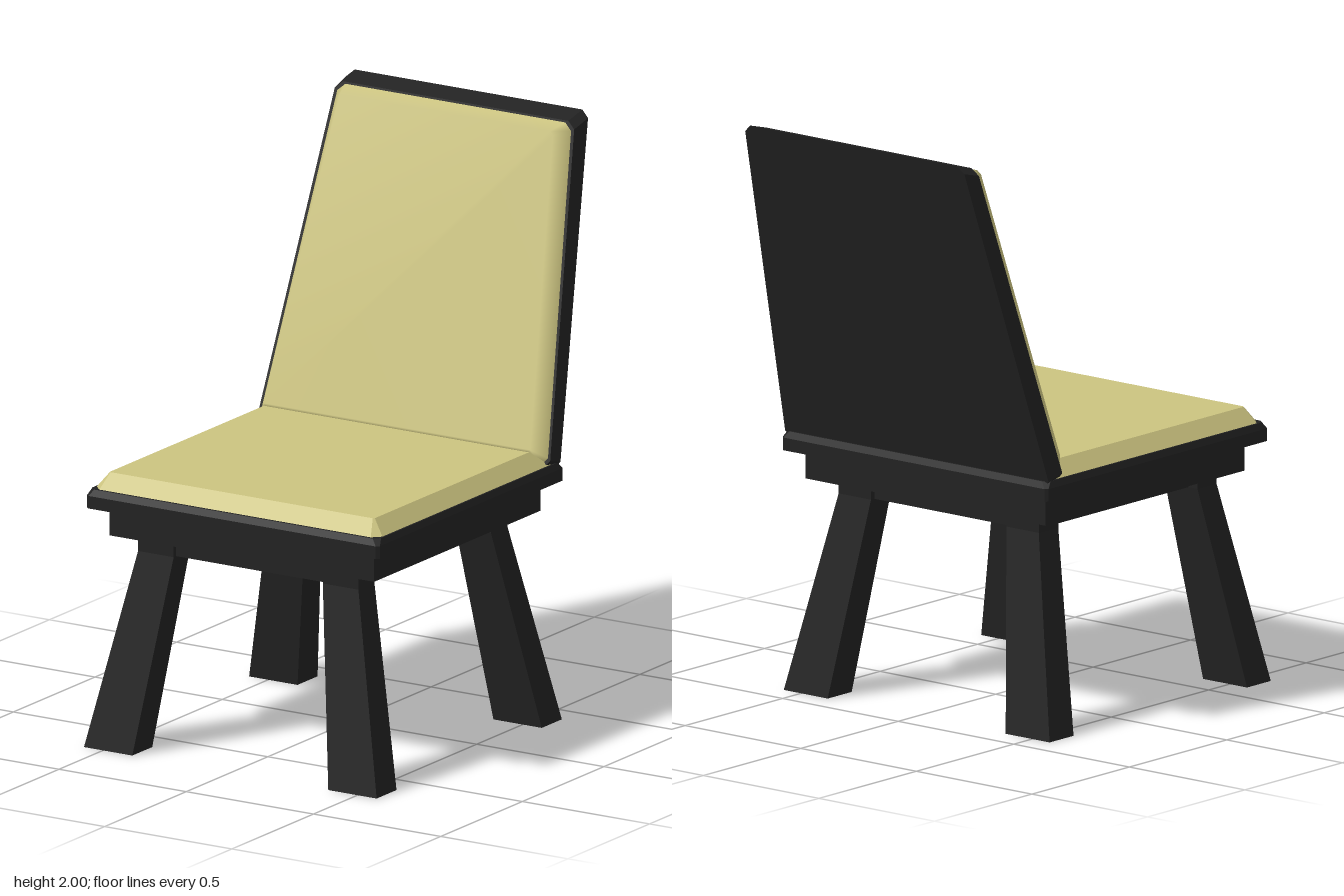
import * as THREE from 'three';

const black = new THREE.MeshStandardMaterial({ color: 0x222222 });
black.name = 'black frame';
const straw = new THREE.MeshStandardMaterial({ color: 0xccc480 });
straw.name = 'straw cushion';

// Four-sided outline, optionally with cut corners, running anticlockwise at height d.
// h0 and h1 are the half widths at v0 and v1.
function ring(h0, h1, v0, v1, d, cut = 0, x = 0) {
  const corners = [[x - h0, v0], [x + h0, v0], [x + h1, v1], [x - h1, v1]];
  if (!cut) return corners.map(([u, v]) => [u, v, d]);
  return corners.flatMap((p, i) => [corners[(i + 3) % 4], corners[(i + 1) % 4]].map((q) => {
    const t = cut / Math.hypot(q[0] - p[0], q[1] - p[1]);
    return [p[0] + (q[0] - p[0]) * t, p[1] + (q[1] - p[1]) * t, d];
  }));
}

// Mappings from outline space to the chair: lying level, or leaning back
const level = ([u, v, d]) => [u, d, -v];
const leaning = ([u, v, d]) => [u, 0.88 + 0.96 * v + 0.28 * d, -0.33 - 0.28 * v + 0.96 * d];

// Joins successive outlines and closes both ends
function loft(name, material, rings, place = level, smooth = false) {
  const n = rings[0].length, last = (rings.length - 1) * n, index = [];
  for (let r = 0; r < last; r += n) {
    for (let k = 0; k < n; k++) {
      const a = r + k, b = r + (k + 1) % n;
      index.push(a, b, b + n, a, b + n, a + n);
    }
  }
  for (let k = 1; k < n - 1; k++) {
    index.push(last, last + k, last + k + 1);
    if (!smooth) index.push(0, k + 1, k);
  }
  let geometry = new THREE.BufferGeometry();
  geometry.setAttribute('position', new THREE.Float32BufferAttribute(rings.flat().flatMap(place), 3));
  geometry.setIndex(index);
  if (!smooth) geometry = geometry.toNonIndexed();
  geometry.computeVertexNormals();
  const mesh = new THREE.Mesh(geometry, material);
  mesh.name = name;
  return mesh;
}

function box(name, w, h, d, x, y, z) {
  const mesh = new THREE.Mesh(new THREE.BoxGeometry(w, h, d), black);
  mesh.position.set(x, y, z);
  mesh.name = name;
  return mesh;
}

export function createModel() {
  const chair = new THREE.Group();
  chair.name = 'chair';

  // Seat board with a slightly bevelled top, and the apron under it
  chair.add(loft('seatBoard', black, [
    ring(0.575, 0.575, -0.72, 0.42, 0.82, 0.01),
    ring(0.575, 0.575, -0.72, 0.42, 0.863, 0.01),
    ring(0.567, 0.567, -0.71, 0.41, 0.885, 0.02),
  ]));
  chair.add(box('apron', 1.04, 0.1, 1.02, 0, 0.77, 0.15));

  // Bevelled seat cushion
  chair.add(loft('seatCushion', straw, [
    ring(0.565, 0.565, -0.705, 0.405, 0.88, 0.03),
    ring(0.52, 0.52, -0.66, 0.36, 0.938, 0.005),
  ]));

  // Rails between the leg tops
  for (const z of [0.57, -0.24]) chair.add(box('crossRail', 0.72, 0.06, 0.07, 0, 0.7, z));
  for (const x of [-0.36, 0.36]) chair.add(box('sideRail', 0.07, 0.06, 0.81, x, 0.7, 0.165));

  // Splayed legs, thicker at the foot
  const legEnds = [
    { name: 'frontLeg', foot: [-0.73, -0.608], top: [-0.62, -0.522] },
    { name: 'backLeg', foot: [0.282, 0.405], top: [0.192, 0.292] },
  ];
  for (const { name, foot, top } of legEnds) {
    for (const side of [-1, 1]) {
      chair.add(loft(name, black, [
        ring(0.095, 0.095, ...foot, 0, 0, side * 0.48),
        ring(0.07, 0.07, ...top, 0.67, 0, side * 0.363),
        ring(0.07, 0.07, ...top, 0.73, 0, side * 0.363),
      ]));
    }
  }

  // Leaning, tapered back panel and its padded front
  chair.add(loft('backPanel', black, [
    ring(0.572, 0.472, 0, 1.187, -0.07, 0.025),
    ring(0.575, 0.468, 0, 1.145, 0, 0.025),
  ], leaning));
  chair.add(loft('backCushion', straw, [
    ring(0.565, 0.457, 0.008, 1.138, 0, 0.025),
    ring(0.525, 0.425, 0.04, 1.103, 0.057, 0.012),
  ], leaning, true));

  return chair;
}
